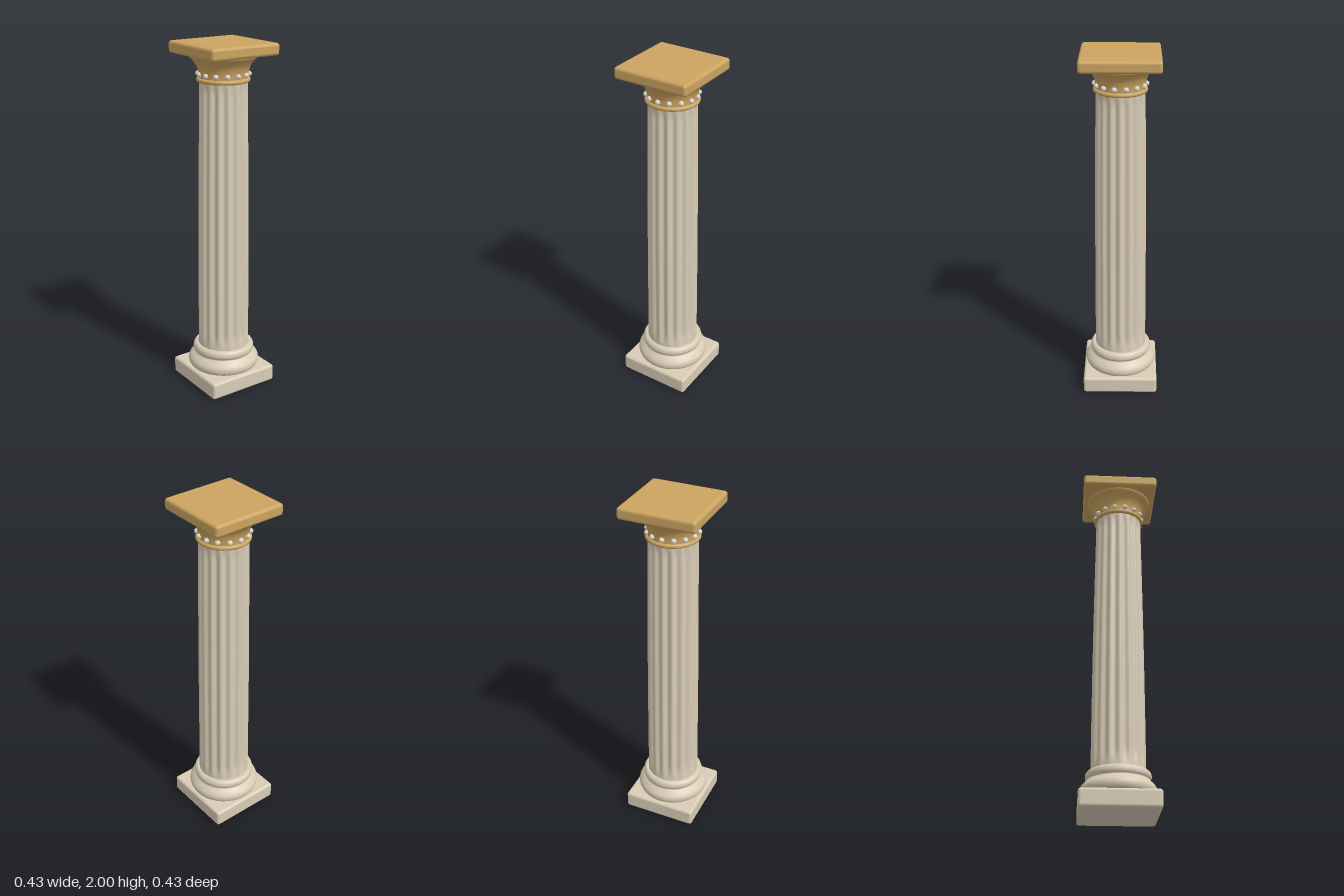
import * as THREE from 'three';
import { RoundedBoxGeometry } from 'three/addons/geometries/RoundedBoxGeometry.js';

const FLUTES = 16;
const BEADS = 14;

// Lathe a list of [radius, y] points, smoothed by a spline
function turned(points, smooth = true) {
  let pts = points.map(([r, y]) => new THREE.Vector2(r, y));
  if (smooth) pts = new THREE.SplineCurve(pts).getPoints(40);
  return new THREE.LatheGeometry(pts, 64);
}

// Tapered cylinder whose radius ripples into flutes that fade out at both ends
function flutedShaft(y0, y1, r0, r1) {
  const g = new THREE.CylinderGeometry(1, 1, y1 - y0, FLUTES * 12, 60, true);
  g.translate(0, (y0 + y1) / 2, 0);
  const p = g.attributes.position;
  for (let i = 0; i < p.count; i++) {
    const y = p.getY(i);
    const t = (y - y0) / (y1 - y0);
    const a = Math.atan2(p.getX(i), p.getZ(i));
    const fade = THREE.MathUtils.smoothstep(y, y0, y0 + 0.1) *
      (1 - THREE.MathUtils.smoothstep(y, y1 - 0.06, y1));
    const swell = 0.003 * Math.sin(Math.PI * t);
    const r = (r0 + (r1 - r0) * t + swell) *
      (1 - 0.045 * fade * (1 - Math.cos(a * FLUTES)));
    p.setXYZ(i, r * Math.sin(a), y, r * Math.cos(a));
  }
  g.computeVertexNormals();
  // Match the normals across the seam
  const n = g.attributes.normal, row = FLUTES * 12 + 1;
  for (let i = 0; i < p.count; i += row) {
    const j = i + row - 1;
    const v = new THREE.Vector3().fromBufferAttribute(n, i)
      .add(new THREE.Vector3().fromBufferAttribute(n, j)).normalize();
    n.setXYZ(i, v.x, v.y, v.z);
    n.setXYZ(j, v.x, v.y, v.z);
  }
  return g;
}

export function createModel() {
  const column = new THREE.Group();
  column.name = 'column';
  const material = (name, color) => {
    const m = new THREE.MeshStandardMaterial({ color });
    m.name = name;
    return m;
  };
  const stone = material('warm stone', 0xd9ccb6);
  const gold = material('gold', 0xcba460);
  const pearl = material('pearl', 0xd8d4cb);

  const add = (name, geometry, mat, y = 0, parent = column) => {
    const mesh = new THREE.Mesh(geometry, mat);
    mesh.name = name;
    mesh.position.y = y;
    parent.add(mesh);
    return mesh;
  };

  // Base: square plinth, two rounded mouldings and a cap
  add('plinth', new RoundedBoxGeometry(0.432, 0.1, 0.432, 4, 0.016), stone, 0.05);
  add('baseMoulding', turned([
    [0.185, 0.098], [0.2, 0.108], [0.207, 0.128], [0.203, 0.15], [0.187, 0.17],
    [0.174, 0.182], [0.17, 0.19], [0.176, 0.2], [0.178, 0.212], [0.174, 0.228], [0.163, 0.239],
  ]), stone);
  add('baseCap', turned([[0.163, 0.239], [0, 0.239]], false), stone);

  // Shaft
  add('shaft', flutedShaft(0.235, 1.8, 0.149, 0.133), stone);

  // Capital: ring, neck, flaring bell and square slab
  const ring = new THREE.TorusGeometry(0.135, 0.012, 16, 64);
  ring.rotateX(Math.PI / 2);
  add('neckRing', ring, gold, 1.801);
  add('bell', turned([
    [0.134, 1.8], [0.135, 1.83], [0.139, 1.855], [0.149, 1.88],
    [0.167, 1.905], [0.184, 1.922], [0.19, 1.937],
  ]), gold);
  add('slab', new RoundedBoxGeometry(0.432, 0.066, 0.432, 4, 0.017), gold, 1.967);

  // Ring of beads around the neck
  const beads = new THREE.Group();
  beads.name = 'beads';
  column.add(beads);
  const bead = new THREE.SphereGeometry(0.0145, 20, 14);
  for (let i = 0; i < BEADS; i++) {
    const a = (i / BEADS) * Math.PI * 2;
    const mesh = add('bead', bead, pearl, 1.831, beads);
    mesh.position.x = 0.138 * Math.sin(a);
    mesh.position.z = 0.138 * Math.cos(a);
  }
  return column;
}
